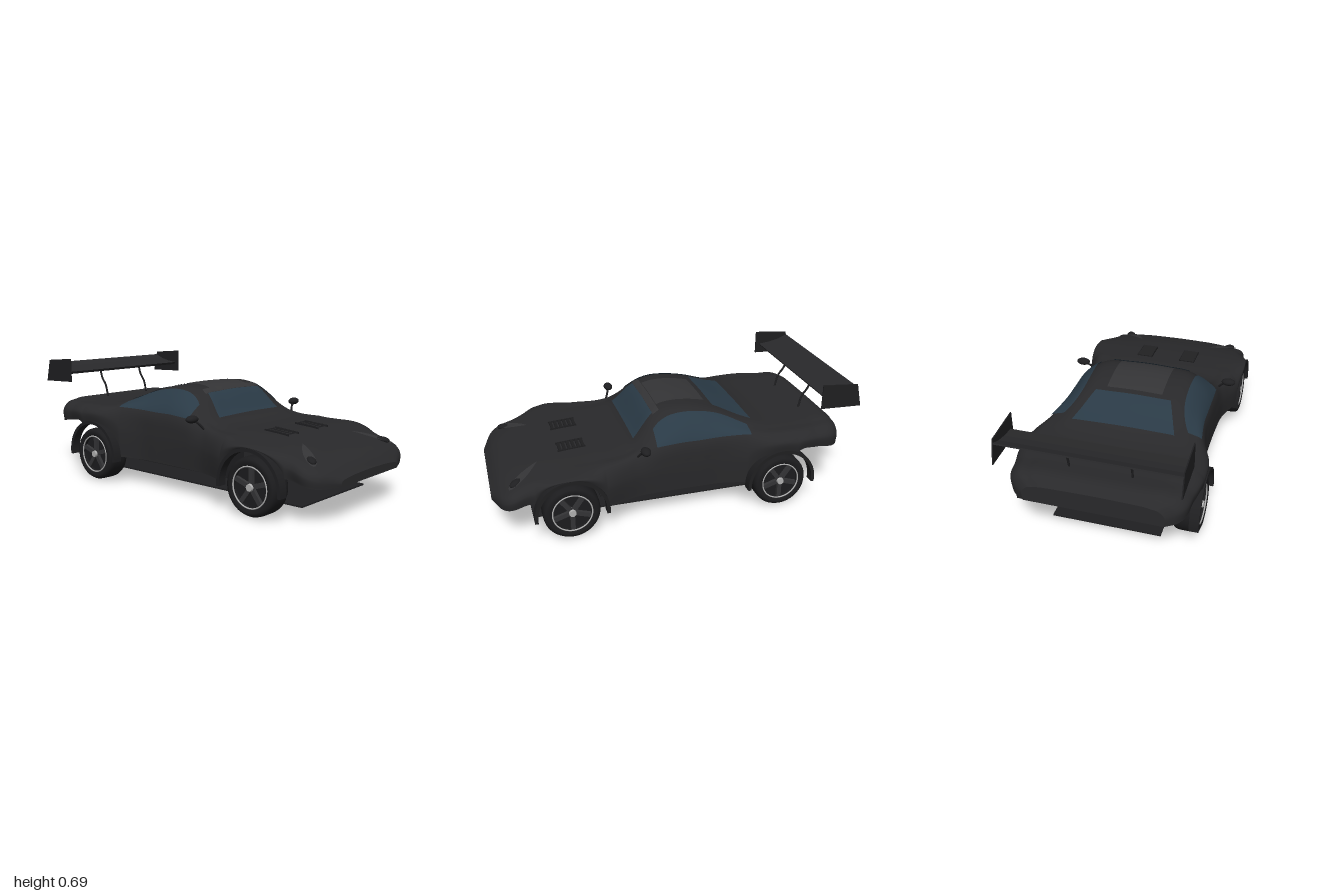
import * as THREE from 'three';
import { ParametricGeometry } from 'three/addons/geometries/ParametricGeometry.js';

const material = (color) => new THREE.MeshStandardMaterial({ color, side: THREE.DoubleSide });
const paint = material(0x29292b), trim = material(0x1f1f21), rubber = material(0x1c1c1e);
const glass = material(0x2a3a46), panel = material(0x343436), metal = material(0xb0b0b0);

// Body stations: z, centre y, roof edge x/y, shoulder x/y, side x, bottom y
const STATIONS = [
  [-0.93, 0.405, 0.25, 0.40, 0.33, 0.385, 0.36, 0.30],
  [-0.9, 0.432, 0.28, 0.43, 0.38, 0.41, 0.415, 0.305],
  [-0.75, 0.438, 0.30, 0.438, 0.42, 0.425, 0.465, 0.33],
  [-0.65, 0.437, 0.30, 0.438, 0.435, 0.43, 0.483, 0.33],
  [-0.5, 0.447, 0.30, 0.445, 0.435, 0.43, 0.478, 0.155],
  [-0.38, 0.485, 0.28, 0.475, 0.415, 0.43, 0.445, 0.155],
  [-0.22, 0.545, 0.255, 0.535, 0.395, 0.425, 0.408, 0.155],
  [-0.1, 0.57, 0.25, 0.56, 0.393, 0.42, 0.405, 0.155],
  [0, 0.575, 0.25, 0.563, 0.393, 0.42, 0.405, 0.155],
  [0.07, 0.563, 0.24, 0.55, 0.392, 0.415, 0.406, 0.155],
  [0.13, 0.53, 0.23, 0.52, 0.39, 0.41, 0.408, 0.155],
  [0.24, 0.415, 0.26, 0.41, 0.385, 0.385, 0.415, 0.155],
  [0.3, 0.387, 0.26, 0.387, 0.40, 0.372, 0.43, 0.155],
  [0.45, 0.375, 0.25, 0.377, 0.43, 0.365, 0.478, 0.155],
  [0.62, 0.362, 0.23, 0.363, 0.43, 0.357, 0.484, 0.17],
  [0.8, 0.33, 0.23, 0.328, 0.40, 0.315, 0.435, 0.215],
  [0.95, 0.275, 0.20, 0.271, 0.37, 0.25, 0.398, 0.185],
  [1, 0.225, 0.15, 0.222, 0.25, 0.212, 0.27, 0.18],
];
const AXLES = [0.61, -0.55], AXLE_Y = 0.15, ARCH_R = 0.19;
const profile = new THREE.CubicInterpolant(
  STATIONS.map((s) => s[0]), STATIONS.flatMap((s) => s.slice(1)), 7);
const sections = new Map();

// Cross-section curve, running from the left sill over the roof to the right sill
function section(z) {
  if (sections.has(z)) return sections.get(z);
  let [yc, xr, yr, xb, yb, xs, bottom] = profile.evaluate(THREE.MathUtils.clamp(z, -0.93, 1));
  for (const a of AXLES) {
    const d = Math.abs(z - a);
    if (d < ARCH_R) bottom = Math.max(bottom, AXLE_Y + Math.sqrt(ARCH_R ** 2 - d * d));
  }
  bottom = Math.min(bottom, yb - 0.015);
  const bulge = Math.max(0, yr - yb) * 0.1;
  const half = [
    [xs - 0.005, bottom], [xs, yb + (bottom - yb) * 0.4], [xb, yb],
    [(xr + xb) / 2 + bulge, (yr + yb) / 2 + bulge], [xr, yr], [xr / 2, yc * 0.7 + yr * 0.3],
  ];
  const pts = [...half, [0, yc], ...half.map(([x, y]) => [-x, y]).reverse()];
  const curve = new THREE.SplineCurve(pts.map(([x, y]) => new THREE.Vector2(x, y)));
  sections.set(z, curve);
  return curve;
}

// Height of the upper body at (x, z)
function heightAt(x, z) {
  const c = section(z);
  let lo = 2 / 12, hi = 0.5;
  for (let i = 0; i < 22; i++) {
    const m = (lo + hi) / 2;
    if (c.getPoint(m).x > Math.abs(x)) lo = m; else hi = m;
  }
  return c.getPoint(lo).y;
}

export function createModel() {
  const car = new THREE.Group();
  const add = (name, geometry, mat, parent = car) => {
    const m = new THREE.Mesh(geometry, mat);
    m.name = name;
    parent.add(m);
    return m;
  };
  const box = (name, w, h, d, x, y, z, mat = trim) => {
    const m = add(name, new THREE.BoxGeometry(w, h, d), mat);
    m.position.set(x, y, z);
    return m;
  };
  const surface = (name, fn, nu, nv, mat) =>
    add(name, new ParametricGeometry((u, v, p) => p.set(...fn(u, v)), nu, nv), mat);
  // Extrudes a (z, y) outline across x
  const extrudeX = (name, shape, x, width, mat) => {
    const g = new THREE.ExtrudeGeometry(shape, { depth: width, bevelEnabled: false, curveSegments: 28 });
    return add(name, g.translate(0, 0, -width / 2).rotateY(Math.PI / 2).translate(x, 0, 0), mat);
  };
  const outline = (pts) => new THREE.Shape(pts.map(([z, y]) => new THREE.Vector2(-z, y)));
  const tube = (name, pts, r, mat) => add(name, new THREE.TubeGeometry(
    new THREE.CatmullRomCurve3(pts.map((p) => new THREE.Vector3(...p))), 10, r, 8), mat);

  // Body shell with closed nose and tail
  surface('bodyShell', (u, v) => {
    const z = -0.93 + 1.93 * v, p = section(z).getPoint(u);
    return [p.x, p.y, z];
  }, 60, 193, paint);
  for (const [name, z] of [['nosePanel', 1], ['tailPanel', -0.93]]) {
    add(name, new THREE.ShapeGeometry(new THREE.Shape(section(z).getPoints(60))), paint).position.z = z;
  }

  // Glass and panels that follow the upper body: back z/half width, front z/half width
  const patch = (name, z0, w0, z1, w1, mat, lift = 0.005) => surface(name, (u, v) => {
    const z = z0 + (z1 - z0) * v, x = (w0 + (w1 - w0) * v) * (1 - 2 * u);
    return [x, heightAt(x, z) + lift, z];
  }, 24, 14, mat);
  patch('windscreen', 0.115, 0.215, 0.232, 0.255, glass, 0.007);
  patch('rearWindow', -0.43, 0.28, -0.23, 0.21, glass);
  patch('roofPanel', -0.2, 0.155, 0.075, 0.155, panel, 0.004);
  patch('sunStrip', 0.08, 0.225, 0.115, 0.232, panel, 0.008);

  // Floor, under-panels and bulkheads
  box('floorPlate', 0.585, 0.008, 1.53, 0, 0.05, 0.03);
  box('cabinFloor', 0.585, 0.008, 0.8, 0, 0.12, 0.03);
  box('noseUnderPanel', 0.66, 0.008, 0.15, 0, 0.195, 0.87);
  box('tailUnderPanel', 0.76, 0.008, 0.16, 0, 0.325, -0.82);

  for (const s of [1, -1]) {
    // Side windows
    surface('sideWindow', (u, v) => {
      const z = -0.385 + 0.52 * v;
      const top = 3.75 - 0.5 * Math.abs(2 * v - 1) ** 4;
      const t = 2.1 + (top - 2.1) * (s > 0 ? u : 1 - u);
      const p = section(z).getPoint(t / 12);
      return [s * (p.x + 0.005), p.y + 0.003, z];
    }, 14, 30, glass);

    // Teardrop headlamp recess and lamp
    surface('headlampCover', (u, v) => {
      const w = 0.032 * Math.sqrt(1 - v) * v * 2.2 * (1 - 2 * u);
      const x = 0.225 + 0.15 * v + w * 0.74, z = 0.745 + 0.165 * v - w * 0.67;
      return [s * x, heightAt(x, z) + 0.006, z];
    }, 8, 24, panel);
    const lamp = add('headlamp', new THREE.SphereGeometry(0.035, 20, 12), trim);
    lamp.scale.set(0.65, 0.45, 1.05);
    lamp.rotation.set(0.25, s * 0.73, 0);
    lamp.position.set(s * 0.34, heightAt(0.34, 0.875) + 0.004, 0.875);

    // Bonnet louvres
    for (let i = 0; i < 6; i++) {
      const z = 0.49 + i * 0.025;
      box('bonnetLouvre', 0.088, 0.006, 0.017, s * 0.135, heightAt(0.135, z) + 0.006, z).rotation.x = -0.25;
    }
    for (const e of [-1, 1]) {
      box('louvreFrame', 0.005, 0.01, 0.15, s * 0.135 + e * 0.045, heightAt(0.135, 0.55) + 0.003, 0.553)
        .rotation.x = 0.08;
    }

    // Mirrors
    const mirror = add('mirror', new THREE.SphereGeometry(1, 20, 14), trim);
    mirror.scale.set(0.04, 0.02, 0.026);
    mirror.position.set(s * 0.446, 0.436, 0.212);
    tube('mirrorStalk', [[s * 0.385, 0.38, 0.24], [s * 0.41, 0.41, 0.225], [s * 0.435, 0.43, 0.212]], 0.006, trim);

    // Wing supports and end plates
    tube('wingStrut', [[s * 0.163, 0.435, -0.78], [s * 0.163, 0.51, -0.80], [s * 0.163, 0.55, -0.83],
      [s * 0.163, 0.61, -0.85]], 0.006, trim);
    extrudeX('wingEndPlate', outline([[-0.765, 0.692], [-0.97, 0.675], [-1, 0.547], [-0.765, 0.555]]),
      s * 0.454, 0.006, trim);

    // Bulkheads and floor stays
    for (const z of [0.41, -0.355]) {
      box('bulkhead', 0.135, 0.17, 0.008, s * 0.338, 0.24, z);
      box('floorStay', 0.01, 0.06, 0.01, s * 0.27, 0.148, z, metal);
    }
    box('frontLip', 0.19, 0.008, 0.05, s * 0.135, 0.176, 0.93);

    // Arch flares and wheels
    for (const z of AXLES) {
      const flare = new THREE.Shape();
      flare.moveTo(-z + 0.196, 0.13).lineTo(-z + 0.196, AXLE_Y);
      flare.absarc(-z, AXLE_Y, 0.196, 0, Math.PI, false);
      flare.lineTo(-z - 0.196, 0.13).lineTo(-z - 0.178, 0.13);
      flare.absarc(-z, AXLE_Y, 0.178, Math.PI, 0, true);
      flare.lineTo(-z + 0.178, 0.13);
      extrudeX('archFlare', flare, s * 0.463, 0.05, trim);
      car.add(makeWheel(s, z, add));
    }
  }

  // Rear wing
  extrudeX('rearWing', outline([[-0.79, 0.612], [-0.86, 0.62], [-0.92, 0.634], [-0.975, 0.657],
    [-0.977, 0.649], [-0.92, 0.618], [-0.86, 0.603], [-0.8, 0.598]]), 0, 0.906, paint);
  return car;
}

// Wheel built along y, then turned so its outer face points sideways
function makeWheel(s, z, add) {
  const wheel = new THREE.Group();
  wheel.name = 'wheel';
  const tyre = [[0.106, 0.06], [0.125, 0.067], [0.14, 0.062], [0.148, 0.048], [0.15, 0.03],
    [0.15, -0.03], [0.148, -0.048], [0.14, -0.062], [0.125, -0.067], [0.106, -0.06], [0.106, 0.06]];
  add('tyre', new THREE.LatheGeometry(tyre.map(([r, y]) => new THREE.Vector2(r, y)).reverse(), 48), rubber, wheel);
  const rim = add('rimRing', new THREE.TorusGeometry(0.104, 0.004, 8, 48).rotateX(Math.PI / 2), metal, wheel);
  rim.position.y = 0.06;
  add('rimDisc', new THREE.CylinderGeometry(0.105, 0.105, 0.06, 40), rubber, wheel).position.y = 0.005;
  for (let i = 0; i < 5; i++) {
    const spoke = add('spoke', new THREE.BoxGeometry(0.09, 0.018, 0.024).translate(0.055, 0.046, 0), panel, wheel);
    spoke.rotation.y = (i * Math.PI * 2) / 5;
  }
  add('hub', new THREE.CylinderGeometry(0.018, 0.022, 0.03, 20), metal, wheel).position.y = 0.052;
  wheel.rotation.z = -s * Math.PI / 2;
  wheel.position.set(s * 0.408, AXLE_Y, z);
  return wheel;
}
